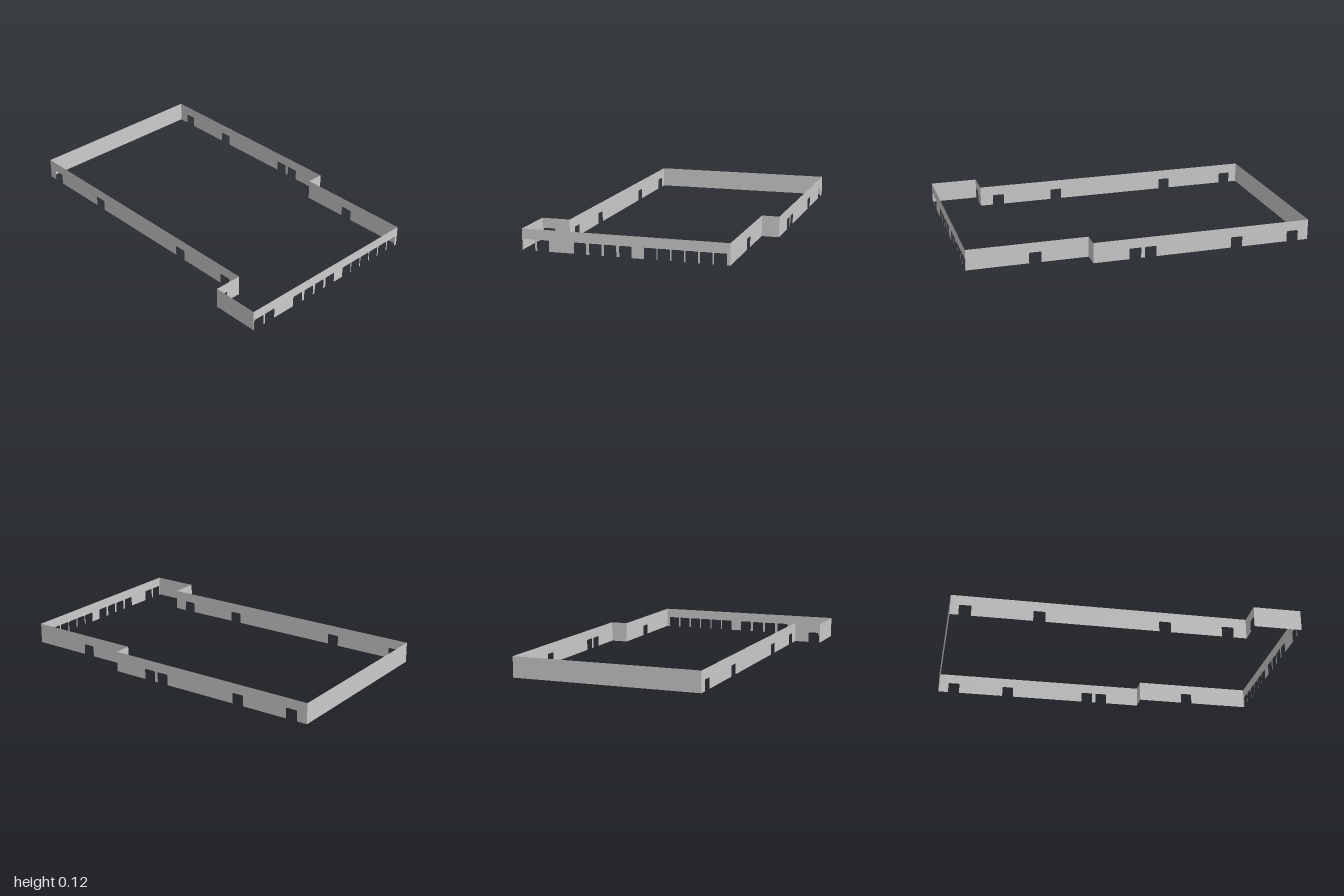
import * as THREE from 'three';

const HEIGHT = 0.121;      // wall height
const DOOR_H = 0.063;      // opening height
const DOOR_W = 0.07;       // opening width
const CHAMFER = 0.004;     // clipped upper corners of openings

// Flat wall outline from a to b, with door notches centred on the given positions
function wallShape(a, b, doors) {
  const s = new THREE.Shape();
  s.moveTo(a, 0);
  for (const c of [...doors].sort((p, q) => p - q)) {
    const l = c - DOOR_W / 2, r = c + DOOR_W / 2;
    s.lineTo(l, 0);
    s.lineTo(l, DOOR_H - CHAMFER);
    s.lineTo(l + CHAMFER, DOOR_H);
    s.lineTo(r - CHAMFER, DOOR_H);
    s.lineTo(r, DOOR_H - CHAMFER);
    s.lineTo(r, 0);
  }
  s.lineTo(b, 0);
  s.lineTo(b, HEIGHT);
  s.lineTo(a, HEIGHT);
  s.closePath();
  return s;
}

export function createModel() {
  const group = new THREE.Group();
  group.name = 'perimeterWalls';
  const material = new THREE.MeshStandardMaterial({ color: 0xcccccc, side: THREE.DoubleSide });

  // axis: direction the wall runs along; at: its position on the other axis
  const addWall = (name, axis, at, a, b, doors = []) => {
    const geometry = new THREE.ShapeGeometry(wallShape(a, b, doors));
    if (axis === 'z') geometry.rotateY(-Math.PI / 2).translate(at, 0, 0);
    else geometry.translate(0, 0, at);
    const mesh = new THREE.Mesh(geometry, material);
    mesh.name = name;
    group.add(mesh);
  };

  // Front wall with its rows of doorways, and the plain back wall
  addWall('frontWall', 'x', 1, -0.64, 0.538, [
    -0.599, -0.517,
    -0.301, -0.213, -0.128, -0.041,
    0.099, 0.175, 0.252, 0.329, 0.408, 0.486,
  ]);
  addWall('backWall', 'x', -1, -0.475, 0.64);

  // +x side: front stretch, step outwards, back stretch
  addWall('leftFrontWall', 'z', 0.538, 0.3, 1, [0.608]);
  addWall('leftStepWall', 'x', 0.3, 0.538, 0.64);
  addWall('leftBackWall', 'z', 0.64, -1, 0.3, [0.056, -0.035, -0.555, -0.903]);

  // -x side: front stretch, step inwards, back stretch
  addWall('rightFrontWall', 'z', -0.64, 0.72, 1);
  addWall('rightStepWall', 'x', 0.72, -0.64, -0.475, [-0.599]);
  addWall('rightBackWall', 'z', -0.475, -1, 0.72, [0.608, 0.235, -0.495, -0.916]);

  return group;
}
